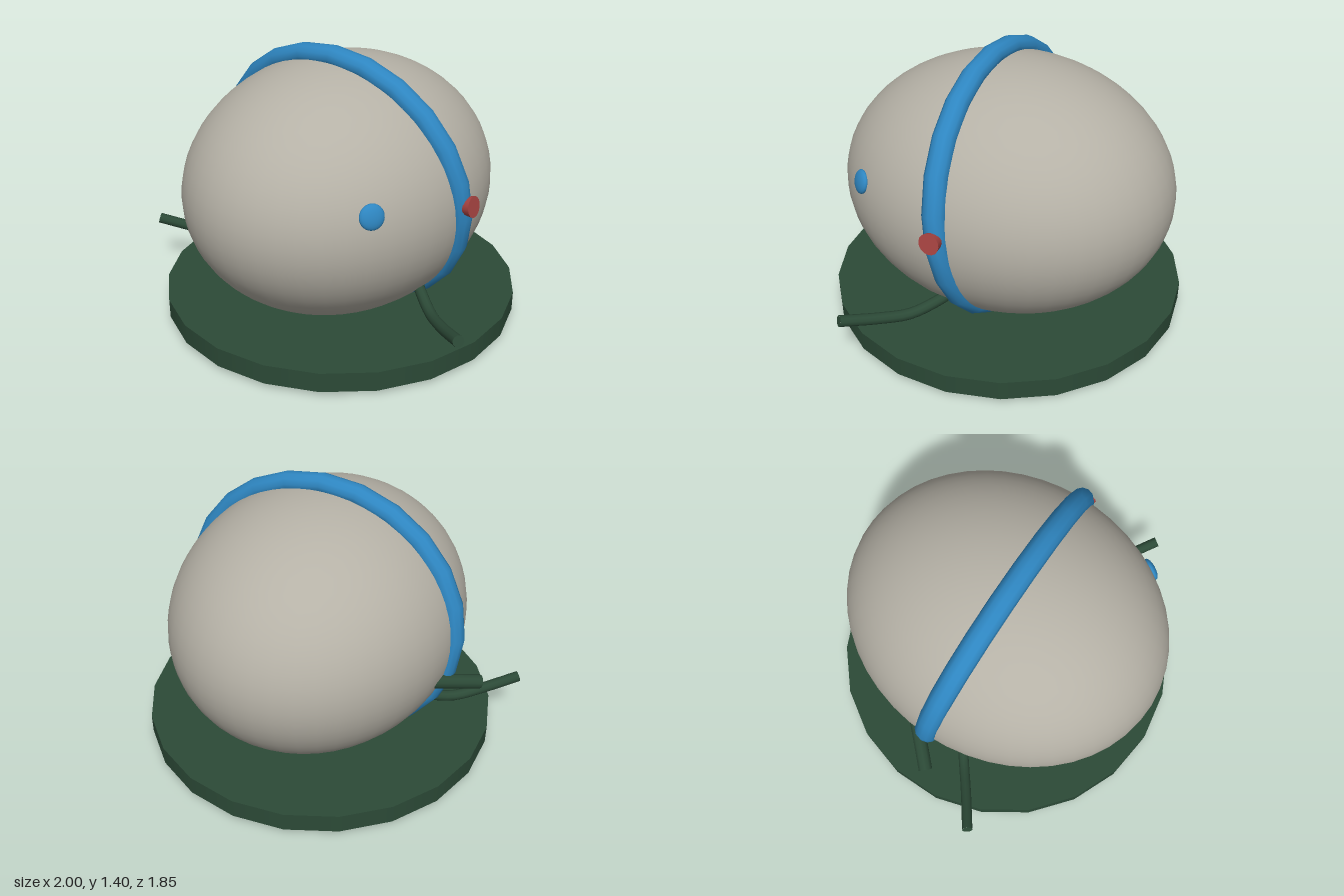
import * as THREE from 'three';

const mat = (name, color) => {
  const m = new THREE.MeshStandardMaterial({ color });
  m.name = name;
  return m;
};

export function createModel() {
  const group = new THREE.Group();
  const stone = mat('warm grey', 0xb5b1a6);
  const blue = mat('blue', 0x2e86c1);
  const green = mat('dark green', 0x2c4a37);
  const red = mat('red', 0xa94442);

  const add = (name, geometry, material, x = 0, y = 0, z = 0) => {
    const mesh = new THREE.Mesh(geometry, material);
    mesh.name = name;
    mesh.position.set(x, y, z);
    group.add(mesh);
    return mesh;
  };

  // Round base and the egg-like body resting in it
  add('base', new THREE.CylinderGeometry(0.923, 0.923, 0.1, 22), green, 0, 0.08, 0);
  const body = new THREE.SphereGeometry(1, 48, 32);
  body.scale(0.733, 0.653, 0.865);
  add('body', body, stone, 0, 0.685, 0);

  // Tilted oval hoop around the body
  const hoop = new THREE.TorusGeometry(0.72, 0.058, 12, 24);
  hoop.rotateZ(-0.035);
  hoop.scale(1, 0.906, 1);
  hoop.rotateX(0.122);
  add('hoop', hoop, blue, 0, 0.706, 0);

  // Flared stud on the hoop's left side
  const stud = new THREE.CylinderGeometry(0.052, 0.036, 0.08, 16);
  add('stud', stud, red, 0.751, 0.745, 0).rotation.z = -Math.PI / 2 + 0.15;

  // Flattened eye lying on the body surface
  const eye = new THREE.SphereGeometry(0.06, 20, 14);
  eye.scale(1, 1, 0.4);
  const eyeMesh = add('eye', eye, blue, 0.575, 0.827, 0.503);
  eyeMesh.quaternion.setFromUnitVectors(
    new THREE.Vector3(0, 0, 1), new THREE.Vector3(1.055, 0.33, 0.668).normalize());

  // Round stick along a curve, with a flat cap on its outer end
  const addStick = (name, points, radius) => {
    const curve = new THREE.CatmullRomCurve3(points.map((p) => new THREE.Vector3(...p)));
    add(name, new THREE.TubeGeometry(curve, 14, radius, 10), green);
    const cap = add(name + 'Cap', new THREE.CircleGeometry(radius, 10), green);
    cap.position.copy(curve.getPoint(1));
    cap.quaternion.setFromUnitVectors(new THREE.Vector3(0, 0, 1), curve.getTangent(1));
  };

  // Mirrored pair of bent front limbs
  for (const [side, s] of [['left', 1], ['right', -1]]) {
    addStick(side + 'Limb', [
      [s * 0.5, 0.3, 0.03], [s * 0.59, 0.255, 0.1], [s * 0.7, 0.226, 0.185],
      [s * 0.82, 0.25, 0.28], [s * 0.98, 0.305, 0.4],
    ], 0.028);
  }

  // Straight peg on the right side
  addStick('sidePeg', [[-0.62, 0.55, -0.17], [-0.74, 0.507, -0.05], [-0.86, 0.465, 0.068]], 0.036);

  return group;
}
